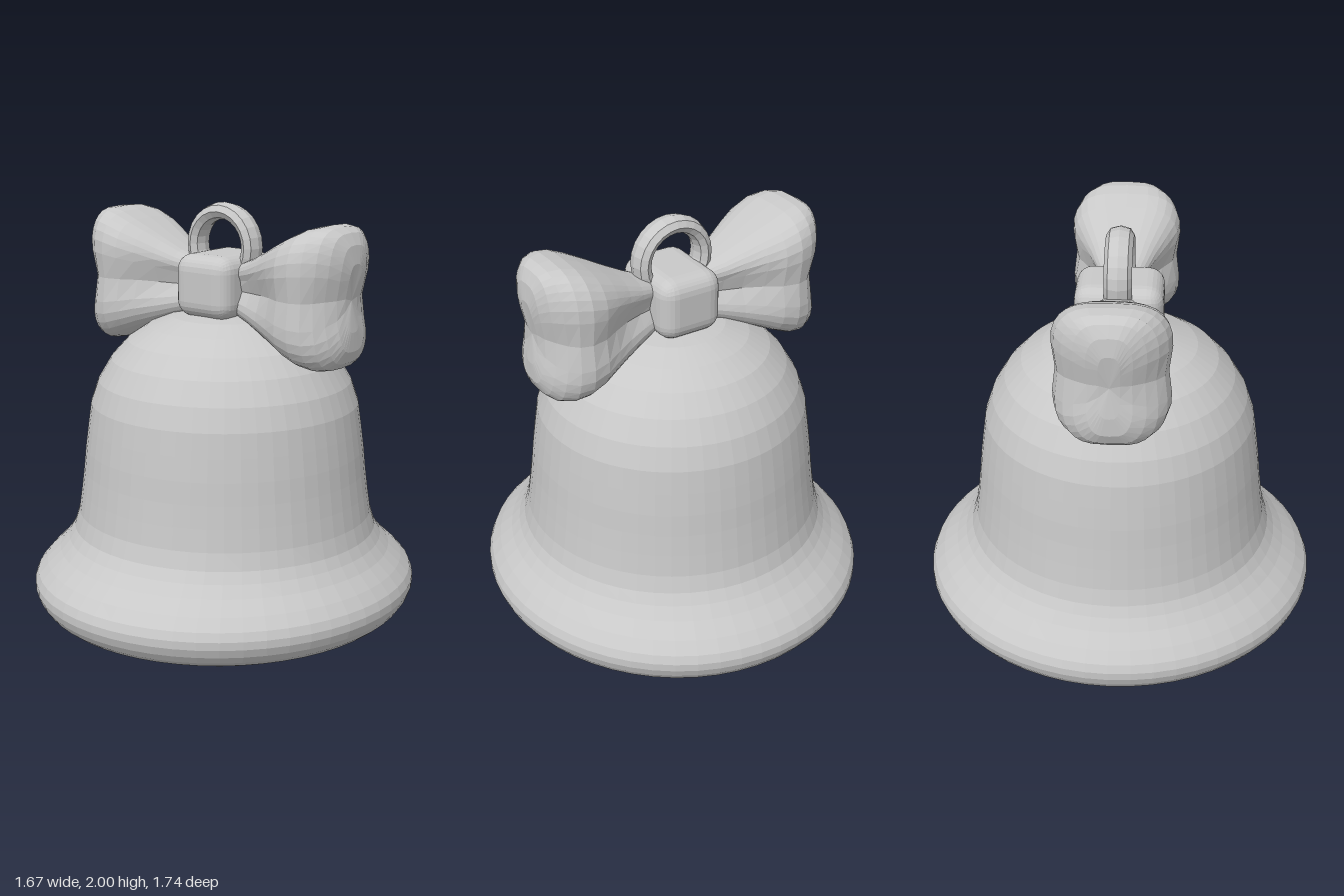
import * as THREE from 'three';
import { RoundedBoxGeometry } from 'three/addons/geometries/RoundedBoxGeometry.js';

const silver = new THREE.MeshStandardMaterial({ color: 0xc8c8c8 });
silver.name = 'plain grey';

// Faceted mesh: split the faces so each has its own normal
function facetedMesh(geometry, name) {
  const g = geometry.index ? geometry.toNonIndexed() : geometry;
  g.computeVertexNormals();
  const mesh = new THREE.Mesh(g, silver);
  mesh.name = name;
  return mesh;
}

function lathe(points, segments) {
  const curve = new THREE.SplineCurve(points.map(([r, y]) => new THREE.Vector2(r, y)));
  const profile = curve.getPoints(points.length * 2);
  profile.forEach((p) => { p.x = Math.max(0, p.x); });
  profile[0].x = profile[profile.length - 1].x = 0;
  return new THREE.LatheGeometry(profile, segments);
}

// Bow loop lofted along x from the knot: [x, top, bottom, half depth]
function bowLoop() {
  const sections = [
    [0.10, 1.745, 1.53, 0.085], [0.20, 1.785, 1.495, 0.128], [0.28, 1.825, 1.462, 0.163],
    [0.36, 1.868, 1.43, 0.205], [0.43, 1.903, 1.398, 0.238], [0.50, 1.934, 1.368, 0.248],
    [0.56, 1.947, 1.355, 0.232], [0.61, 1.943, 1.362, 0.196], [0.645, 1.922, 1.39, 0.15],
    [0.67, 1.875, 1.44, 0.095], [0.682, 1.8, 1.52, 0.045], [0.684, 1.65, 1.65, 0],
  ];
  const n = 32, position = [], index = [];
  const square = (v) => Math.sign(v) * Math.abs(v) ** 0.6;
  sections.forEach(([x, top, bottom, depth], i) => {
    const fold = THREE.MathUtils.lerp(0.4, 0.1, THREE.MathUtils.smoothstep(x, 0.15, 0.5));
    for (let j = 0; j < n; j++) {
      const a = (j / n) * Math.PI * 2;
      const y = (top + bottom) / 2 + square(Math.sin(a)) * (top - bottom) / 2;
      // crease along the middle of the front and back, and a hollow in the end
      const crease = 1 - fold * Math.exp(-(((y - 1.65) / (0.17 * (top - bottom) + 0.01)) ** 2));
      const hollow = 0.03 * Math.exp(-(((y - 1.63) / 0.11) ** 2)) * THREE.MathUtils.smoothstep(x, 0.5, 0.65);
      position.push(x - hollow, y, square(Math.cos(a)) * depth * crease);
      if (i < sections.length - 1) {
        const p = i * n + j, q = i * n + (j + 1) % n;
        index.push(p, p + n, q + n, p, q + n, q);
      }
    }
  });
  const g = new THREE.BufferGeometry();
  g.setAttribute('position', new THREE.Float32BufferAttribute(position, 3));
  g.setIndex(index);
  return g;
}

export function createModel() {
  const model = new THREE.Group();
  model.name = 'bell';

  // Hollow bell: down the inside, round the rim, up the outside
  const body = lathe([
    [0, 1.46], [0.22, 1.42], [0.38, 1.32], [0.48, 1.16], [0.525, 0.95], [0.545, 0.75], [0.56, 0.57],
    [0.6, 0.42], [0.66, 0.3], [0.7, 0.222], [0.735, 0.207], [0.8, 0.25], [0.836, 0.325],
    [0.815, 0.4], [0.715, 0.508], [0.66, 0.61], [0.629, 0.8], [0.606, 1.0], [0.565, 1.21],
    [0.437, 1.4], [0.24, 1.512], [0, 1.545],
  ], 56);
  // The flared lip is a little deeper than wide
  const p = body.attributes.position;
  for (let i = 0; i < p.count; i++) {
    const k = 1 - THREE.MathUtils.smoothstep(p.getY(i), 0.38, 0.65);
    p.setZ(i, p.getZ(i) * (1 + 0.042 * k));
  }
  model.add(facetedMesh(body, 'bellBody'));

  // Pear-shaped clapper hanging from the crown
  model.add(facetedMesh(lathe([
    [0, 0.003], [0.07, 0.012], [0.15, 0.047], [0.232, 0.13], [0.265, 0.255], [0.243, 0.365],
    [0.185, 0.47], [0.13, 0.57], [0.085, 0.72], [0.065, 1.0], [0.06, 1.35], [0, 1.46],
  ], 24), 'clapper'));

  // Bow
  const bow = new THREE.Group();
  bow.name = 'bow';
  for (const side of [1, -1]) {
    const loop = facetedMesh(bowLoop(), side > 0 ? 'leftBowLoop' : 'rightBowLoop');
    if (side < 0) loop.rotation.y = Math.PI;
    bow.add(loop);
  }
  const knot = facetedMesh(new RoundedBoxGeometry(0.29, 0.27, 0.37, 3, 0.07), 'bowKnot');
  knot.position.y = 1.653;
  bow.add(knot);
  model.add(bow);

  // Hanging ring, wider front to back than its rim is tall
  const ring = facetedMesh(new THREE.TorusGeometry(0.147, 0.037, 8, 24), 'hangingRing');
  ring.scale.z = 1.55;
  ring.position.y = 1.816;
  model.add(ring);

  return model;
}
